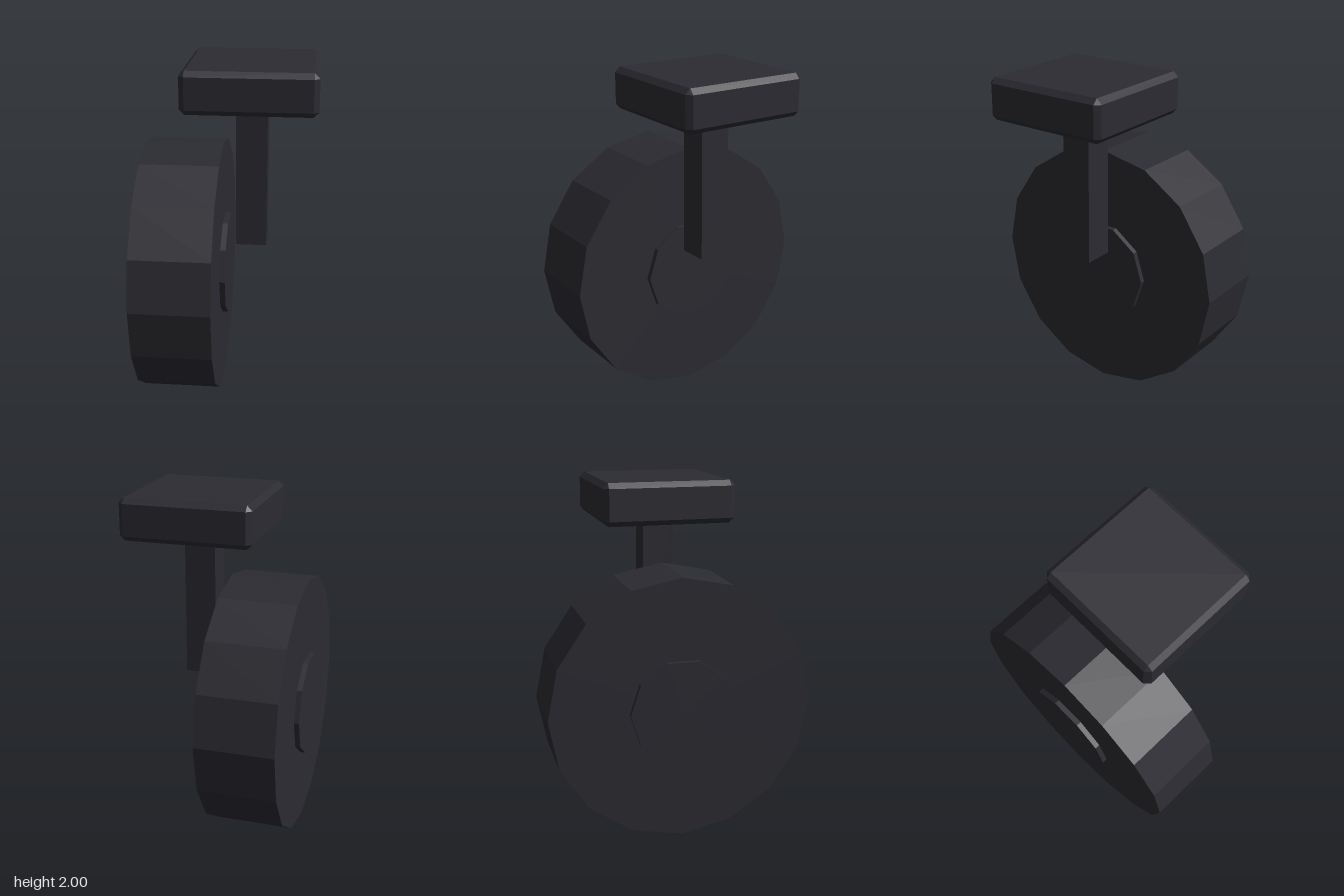
import * as THREE from 'three';
import { ConvexGeometry } from 'three/addons/geometries/ConvexGeometry.js';

const WHEEL_Y = 0.757;

// Box with every edge cut by a flat chamfer
function chamferBox(w, h, d, c) {
  const half = [w / 2, h / 2, d / 2];
  const points = [];
  for (const sx of [-1, 1]) for (const sy of [-1, 1]) for (const sz of [-1, 1])
    for (let axis = 0; axis < 3; axis++) {
      const p = half.map((v, i) => (i === axis ? v : v - c));
      points.push(new THREE.Vector3(p[0] * sx, p[1] * sy, p[2] * sz));
    }
  return new ConvexGeometry(points);
}

export function createModel() {
  const model = new THREE.Group();
  model.name = 'casterWheel';

  const darkPlastic = new THREE.MeshStandardMaterial({ color: 0x2b2b32, flatShading: true });
  darkPlastic.name = 'dark plastic';

  const add = (name, geometry, x, y, z = 0) => {
    const mesh = new THREE.Mesh(geometry, darkPlastic);
    mesh.name = name;
    mesh.position.set(x, y, z);
    model.add(mesh);
    return mesh;
  };

  // Wheel parts, with the axle along x and a corner facing +z
  const disc = (name, radius, x0, x1, sides) => {
    const geometry = new THREE.CylinderGeometry(radius, radius, x1 - x0, sides);
    geometry.rotateZ(Math.PI / 2);
    return add(name, geometry, (x0 + x1) / 2, WHEEL_Y);
  };
  disc('tyre', 0.757, -0.485, -0.032, 16);
  disc('hub', 0.303, -0.515, 0, 10);

  // Upright arm beside the wheel
  add('arm', new THREE.BoxGeometry(0.18, 0.885, 0.18), 0.135, 1.3575);

  // Chamfered mounting block on top
  add('mountingBlock', chamferBox(0.755, 0.24, 0.757, 0.03), 0.135, 1.88);

  return model;
}
